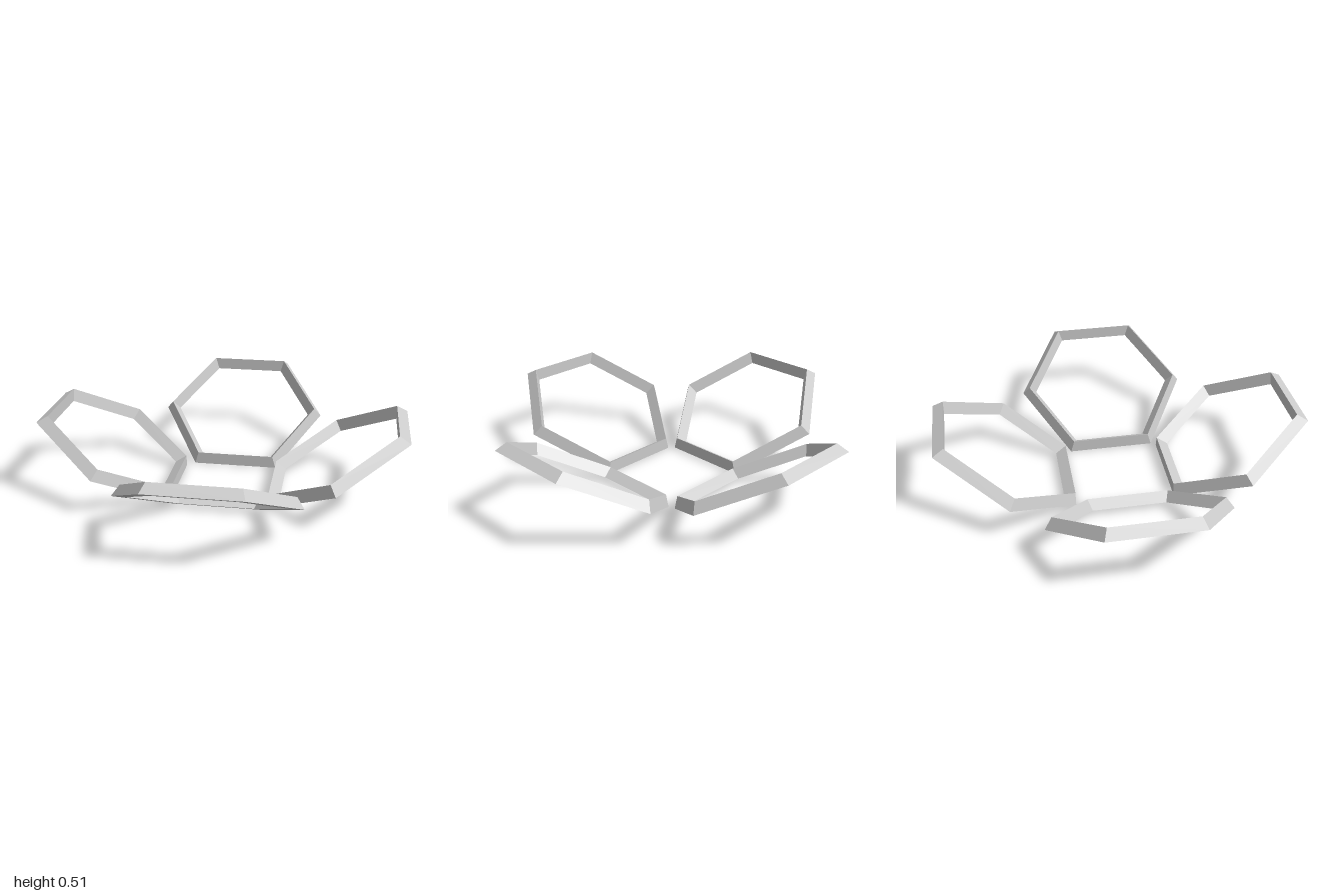
import * as THREE from 'three';

const TILT = Math.PI / 6;
const APOTHEM = 0.475; // centre to middle of an outer side
const WIDTH = 0.078;   // side of the triangular bar section

// Six-sided ring swept from an equilateral triangle: flat below, ridge on top
function hexRingGeometry() {
  const c = Math.cos(Math.PI / 6);
  const outer = APOTHEM / c;
  const inner = (APOTHEM - WIDTH) / c;
  const profile = [
    new THREE.Vector2(outer, 0),
    new THREE.Vector2((outer + inner) / 2, WIDTH * c),
    new THREE.Vector2(inner, 0),
    new THREE.Vector2(outer, 0),
  ];
  return new THREE.LatheGeometry(profile, 6, Math.PI / 6);
}

export function createModel() {
  const group = new THREE.Group();
  group.name = 'hexRingCluster';
  const material = new THREE.MeshStandardMaterial({ color: 0xcccccc, flatShading: true });
  const geometry = hexRingGeometry();

  // Four rings, each leaning outward along its own diagonal
  const rings = [
    ['frontLeftRing', 0.497, 0.503],
    ['frontRightRing', -0.512, 0.506],
    ['backLeftRing', 0.517, -0.503],
    ['backRightRing', -0.517, -0.508],
  ];
  for (const [name, x, z] of rings) {
    const ring = new THREE.Mesh(geometry, material);
    ring.name = name;
    ring.position.set(x, APOTHEM * Math.sin(TILT), z);
    ring.rotation.order = 'YXZ';
    ring.rotation.set(-TILT, Math.atan2(Math.sign(x), Math.sign(z)), 0);
    group.add(ring);
  }
  return group;
}
